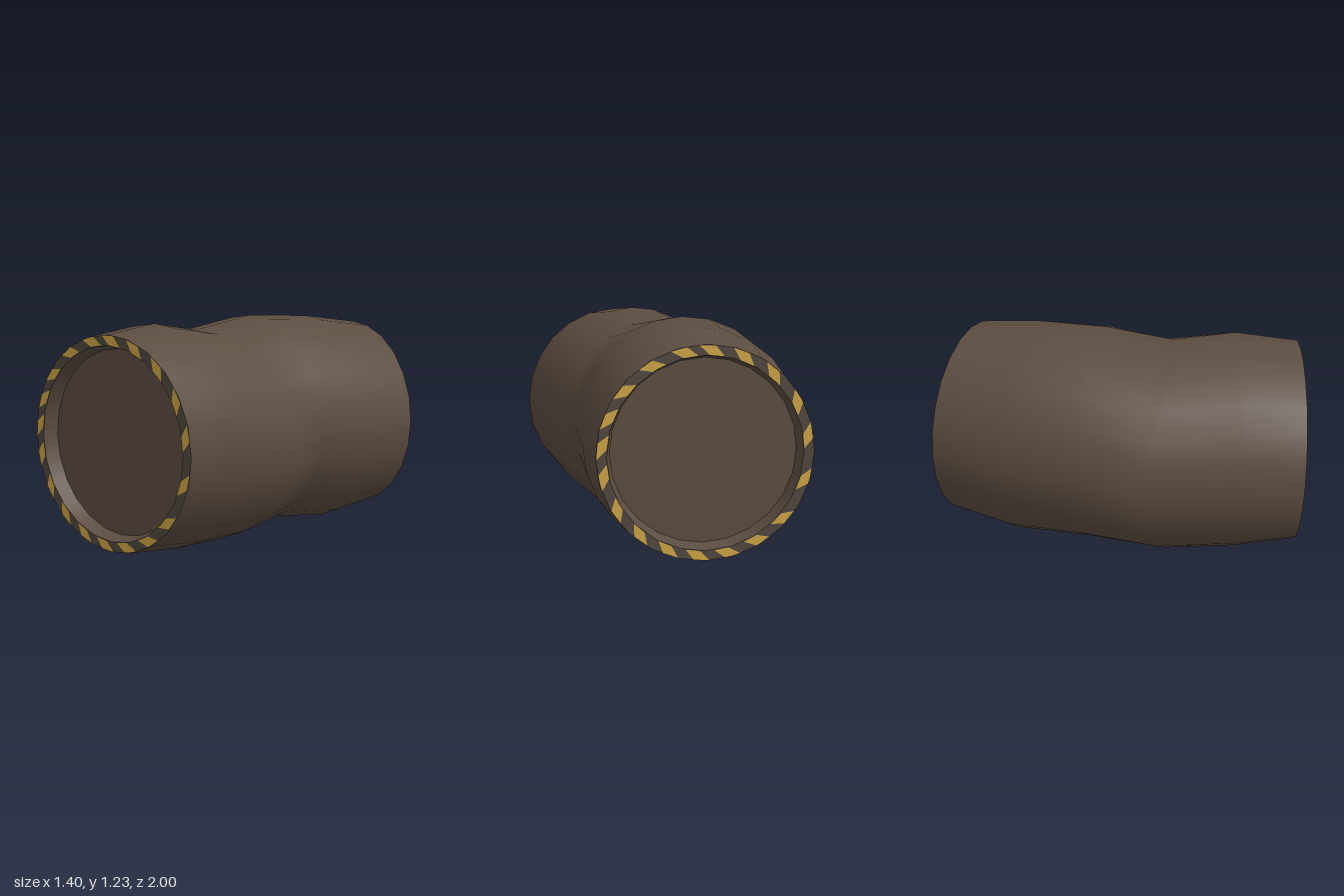
import * as THREE from 'three';

const SIDES = 24;
const brown = new THREE.MeshStandardMaterial({ color: 0x5c4d41, side: THREE.DoubleSide });
brown.name = 'brown';
const rimBrown = new THREE.MeshStandardMaterial({ color: 0x51473f });
rimBrown.name = 'rim brown';
const ochre = new THREE.MeshStandardMaterial({ color: 0xcfa545 });
ochre.name = 'ochre';

// Cross-sections, front to back: centre x, y, z; half width, half height; z lean; z bulge at top and bottom
const RINGS = [
  [-0.087, 0.62, 1, 0.56, 0.56, 0, 0],
  [-0.087, 0.618, 0.66, 0.602, 0.602, 0, 0],
  [-0.087, 0.586, 0.16, 0.617, 0.585, 0.01, 0.17],
  [-0.057, 0.645, -0.1, 0.607, 0.59, 0.1, 0],
  [0.06, 0.618, -0.48, 0.58, 0.602, 0.15, 0],
  [0.168, 0.62, -0.82, 0.528, 0.555, 0.172, 0],
];

function mesh(name, geometry, material) {
  const m = new THREE.Mesh(geometry, material);
  m.name = name;
  return m;
}

// Bent outer shell with smooth normals
function makeShell() {
  const pos = [], index = [];
  RINGS.forEach(([cx, cy, cz, w, h, lean, bulge], i) => {
    for (let j = 0; j < SIDES; j++) {
      const a = (j / SIDES) * Math.PI * 2, c = Math.cos(a), s = Math.sin(a);
      pos.push(cx + w * c, cy + h * s, cz + lean * c + bulge * s * s);
      if (i === RINGS.length - 1) continue;
      const p = i * SIDES + j, q = i * SIDES + ((j + 1) % SIDES);
      index.push(p, p + SIDES, q, q, p + SIDES, q + SIDES);
    }
  });
  const g = new THREE.BufferGeometry();
  g.setAttribute('position', new THREE.Float32BufferAttribute(pos, 3));
  g.setIndex(index);
  g.computeVertexNormals();
  return mesh('shell', g, brown);
}

// Slanted stripes around the rim
const STRIPES = [102, 87, 69, 50, 29, 9, -16, -41, -60, -78, -95, -112, -130, -149, -169, 174, 158, 141, 121];
function makeStripes(outer, inner) {
  const at = (r, deg) => new THREE.Vector2(r * Math.cos(deg * Math.PI / 180), r * Math.sin(deg * Math.PI / 180));
  const shapes = STRIPES.map((d) => new THREE.Shape([
    at(inner, d - 7), at(outer, d - 1.5), at(outer, d + 7), at(inner, d + 1.5),
  ]));
  return mesh('rimStripes', new THREE.ShapeGeometry(shapes), ochre);
}

// Open end facing local +z: flat rim, short tapering wall, recessed disc
function makeEnd(name, radius) {
  const end = new THREE.Group();
  end.name = name;
  const depth = 0.08, inner = radius - 0.054, floor = radius - 0.074;
  end.add(mesh('rim', new THREE.RingGeometry(inner, radius, SIDES), rimBrown));
  const stripes = makeStripes(radius - 0.004, inner + 0.001);
  stripes.position.z = 0.003;
  end.add(stripes);
  const wall = new THREE.CylinderGeometry(inner, floor, depth, SIDES, 1, true);
  wall.rotateX(Math.PI / 2).translate(0, 0, -depth / 2);
  end.add(mesh('innerWall', wall, brown));
  const disc = mesh('recessedDisc', new THREE.CircleGeometry(floor, SIDES), brown);
  disc.position.z = -depth;
  end.add(disc);
  return end;
}

export function createModel() {
  const model = new THREE.Group();
  model.name = 'bentTubeSegment';
  model.add(makeShell());

  const front = makeEnd('frontEnd', 0.56);
  front.position.set(-0.087, 0.62, 1);
  const back = makeEnd('backEnd', 0.555);
  back.position.set(0.168, 0.62, -0.82);
  back.rotation.y = Math.PI - Math.atan2(0.172, 0.528);
  model.add(front, back);
  return model;
}
